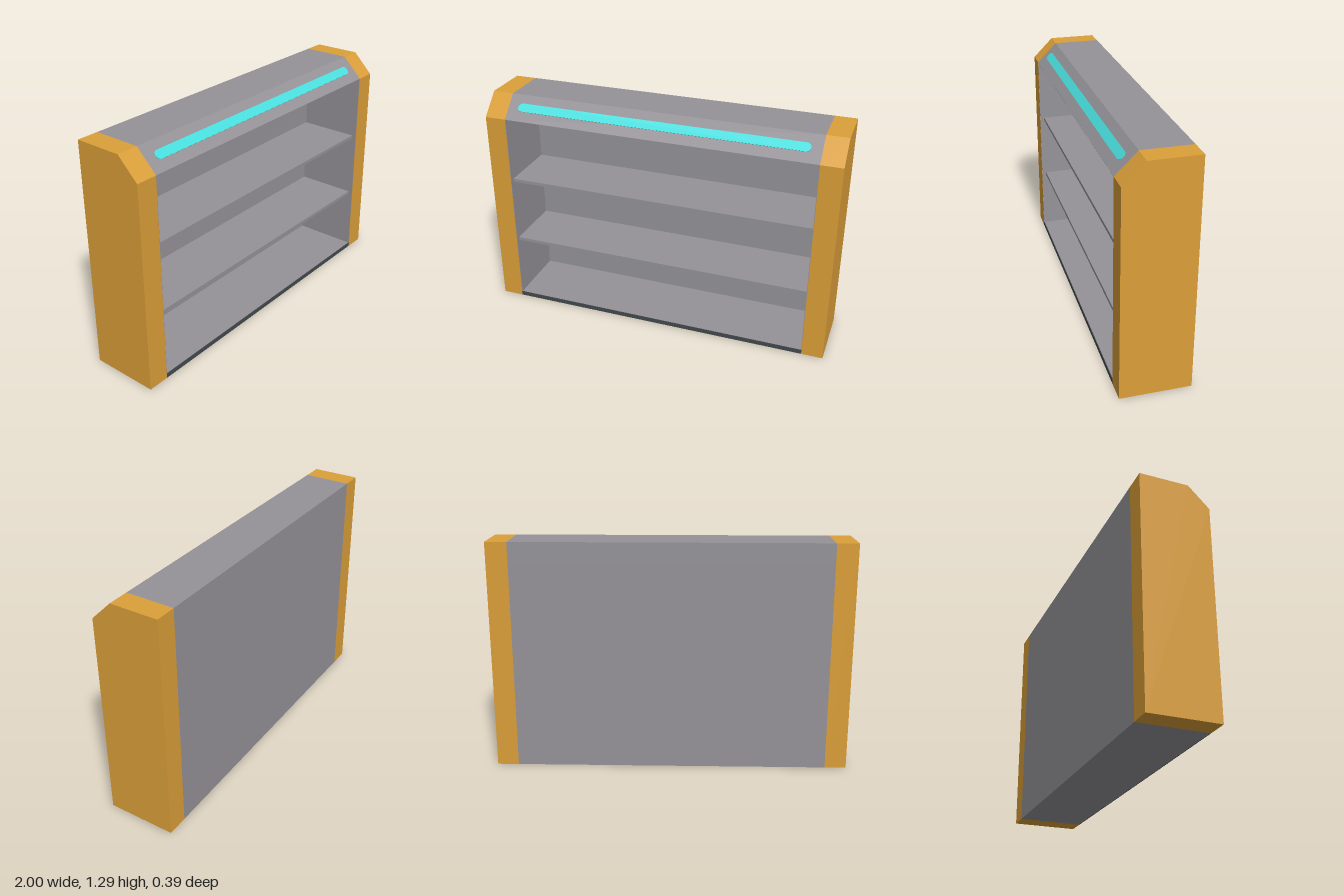
import * as THREE from 'three';

const W = 2, H = 1.29, D = 0.193;       // width, height, half depth
const INNER = 0.88;                     // half width between the side posts
const CUT_Y = 1.175, CUT_Z = 0.077;     // sloped front edge at the top

const mat = (name, color) => {
  const m = new THREE.MeshStandardMaterial({ color });
  m.name = name;
  return m;
};

export function createModel() {
  const orange = mat('orange', 0xdb9f39);
  const grey = mat('grey', 0x959398);
  const dark = mat('dark grey', 0x43494c);
  const cyan = mat('cyan', 0x4adfdf);

  const group = new THREE.Group();
  group.name = 'shelfUnit';
  const add = (name, geometry, material) => {
    const mesh = new THREE.Mesh(geometry, material);
    mesh.name = name;
    group.add(mesh);
    return mesh;
  };
  // Box given by its limits
  const box = (name, material, x0, x1, y0, y1, z0, z1) =>
    add(name, new THREE.BoxGeometry(x1 - x0, y1 - y0, z1 - z0), material)
      .position.set((x0 + x1) / 2, (y0 + y1) / 2, (z0 + z1) / 2);
  // Side profile with the sloped front edge, extruded along x
  const profile = (name, material, bottom, x0, x1) => {
    const shape = new THREE.Shape([
      [D, bottom], [D, CUT_Y], [CUT_Z, H], [-D, H], [-D, bottom],
    ].map(([z, y]) => new THREE.Vector2(-z, y)));
    const geometry = new THREE.ExtrudeGeometry(shape, { depth: x1 - x0, bevelEnabled: false });
    geometry.rotateY(Math.PI / 2).translate(x0, 0, 0);
    add(name, geometry, material);
  };

  // Side posts, with grey linings on the inside
  profile('rightSide', orange, 0, -W / 2, -INNER);
  profile('leftSide', orange, 0, INNER, W / 2);
  for (const s of [-1, 1]) {
    const a = s * INNER, b = s * (INNER - 0.003);
    box(s < 0 ? 'rightLining' : 'leftLining', grey,
      Math.min(a, b), Math.max(a, b), 0.025, CUT_Y, -D + 0.005, D - 0.001);
  }

  // Header, back and floor
  add.call(null, 'backPanel', new THREE.BoxGeometry(2 * INNER, CUT_Y, 0.006), grey)
    .position.set(0, CUT_Y / 2, -D + 0.003);
  profile('header', grey, CUT_Y - 0.001, -INNER, INNER);
  box('floor', grey, -INNER, INNER, 0, 0.025, -D + 0.006, D - 0.004);
  box('kickStrip', dark, -INNER, INNER, 0, 0.025, D - 0.004, D);

  // Shelves, set back a little from the front
  for (const top of [0.403, 0.797]) {
    box('shelf', grey, -INNER, INNER, top - 0.019, top, -D + 0.006, 0.167);
  }

  // Light strip with rounded ends on the sloped face
  const r = 0.025, half = 0.82 - r;
  const strip = new THREE.Shape();
  strip.absarc(half, 0, r, -Math.PI / 2, Math.PI / 2, false);
  strip.absarc(-half, 0, r, Math.PI / 2, Math.PI * 1.5, false);
  const light = add('lightStrip',
    new THREE.ExtrudeGeometry(strip, { depth: 0.003, bevelEnabled: false, curveSegments: 8 }), cyan);
  light.position.set(0, (CUT_Y + H) / 2 + 0.002, (D + CUT_Z) / 2 - 0.002);
  light.rotation.x = -Math.atan2(D - CUT_Z, H - CUT_Y);

  return group;
}
